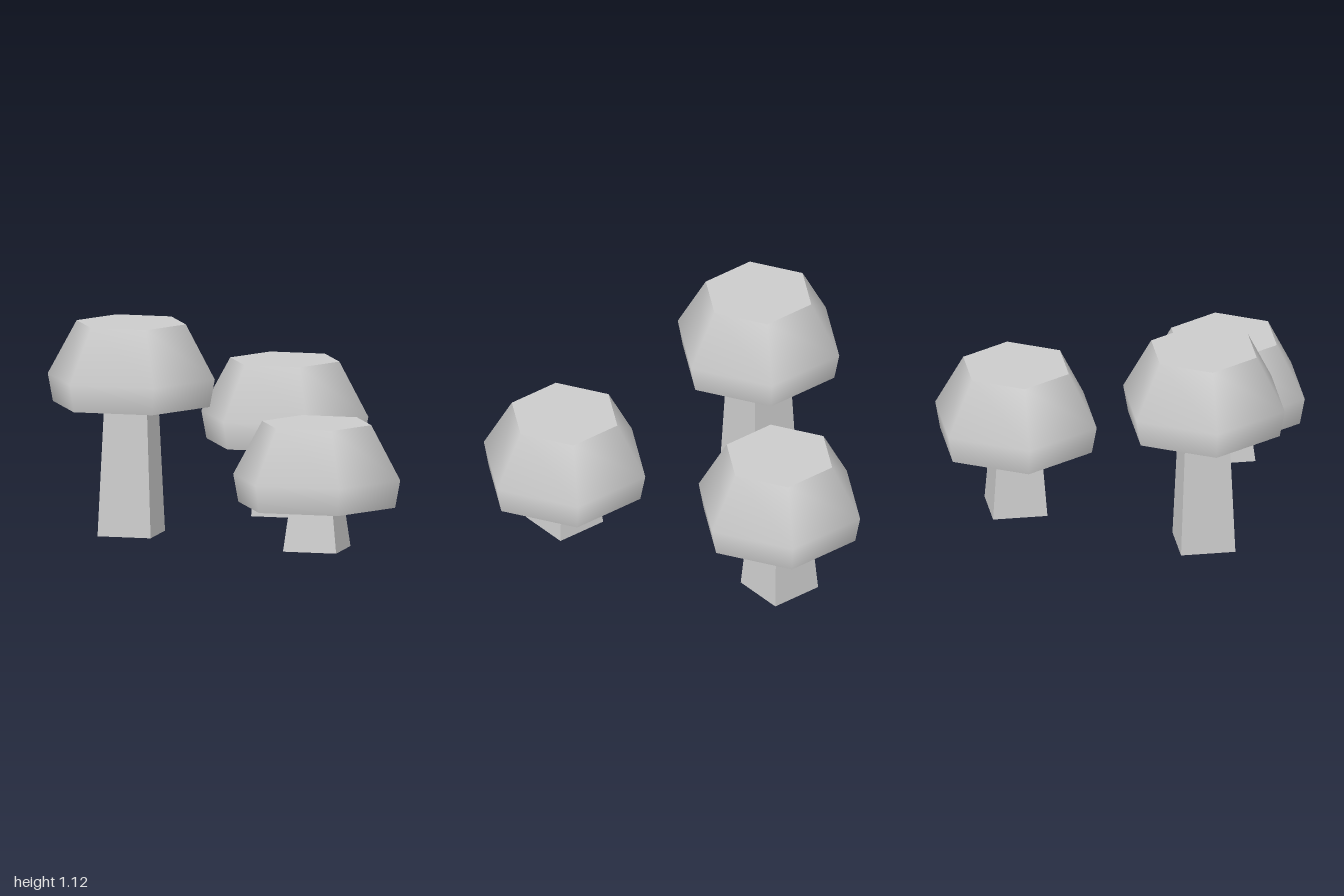
import * as THREE from 'three';

const SIDES = 6;
const smooth = new THREE.MeshStandardMaterial({ color: 0xcccccc });
const flat = new THREE.MeshStandardMaterial({ color: 0xcccccc, flatShading: true });

function addMesh(parent, name, geometry, material, y) {
  const mesh = new THREE.Mesh(geometry, material);
  mesh.name = name;
  mesh.position.y = y;
  parent.add(mesh);
}

// Cap radius and height above the cap's rim, from bottom to top
const capProfile = [[0.428, 0], [0.456, 0.147], [0.298, 0.435]]
  .map(([r, y]) => new THREE.Vector2(r, y));

function createMushroom(name, x, z, stemHeight) {
  const mushroom = new THREE.Group();
  mushroom.name = name;
  mushroom.position.set(x, 0, z);

  // Tapered square stem
  const stem = new THREE.CylinderGeometry(0.117 * Math.SQRT2, 0.145 * Math.SQRT2, stemHeight, 4);
  stem.rotateY(Math.PI / 4);
  addMesh(mushroom, 'stem', stem, flat, stemHeight / 2);

  // Six-sided cap wall with soft shading, corners on the x axis
  const wall = new THREE.LatheGeometry(capProfile, SIDES);
  wall.rotateY(Math.PI / 2);
  addMesh(mushroom, 'capWall', wall, smooth, stemHeight);

  // Flat crown and underside closing the cap
  const crown = new THREE.CircleGeometry(capProfile[2].x, SIDES);
  crown.rotateX(-Math.PI / 2);
  addMesh(mushroom, 'capCrown', crown, flat, stemHeight + capProfile[2].y);

  const underside = new THREE.CircleGeometry(capProfile[0].x, SIDES);
  underside.rotateX(Math.PI / 2);
  addMesh(mushroom, 'capUnderside', underside, flat, stemHeight);

  return mushroom;
}

export function createModel() {
  const group = new THREE.Group();
  group.name = 'mushrooms';
  group.add(
    createMushroom('tallMushroom', -0.544, 0.315, 0.69),
    createMushroom('middleMushroom', 0.048, -0.594, 0.385),
    createMushroom('shortMushroom', 0.544, 0.594, 0.235),
  );
  return group;
}
